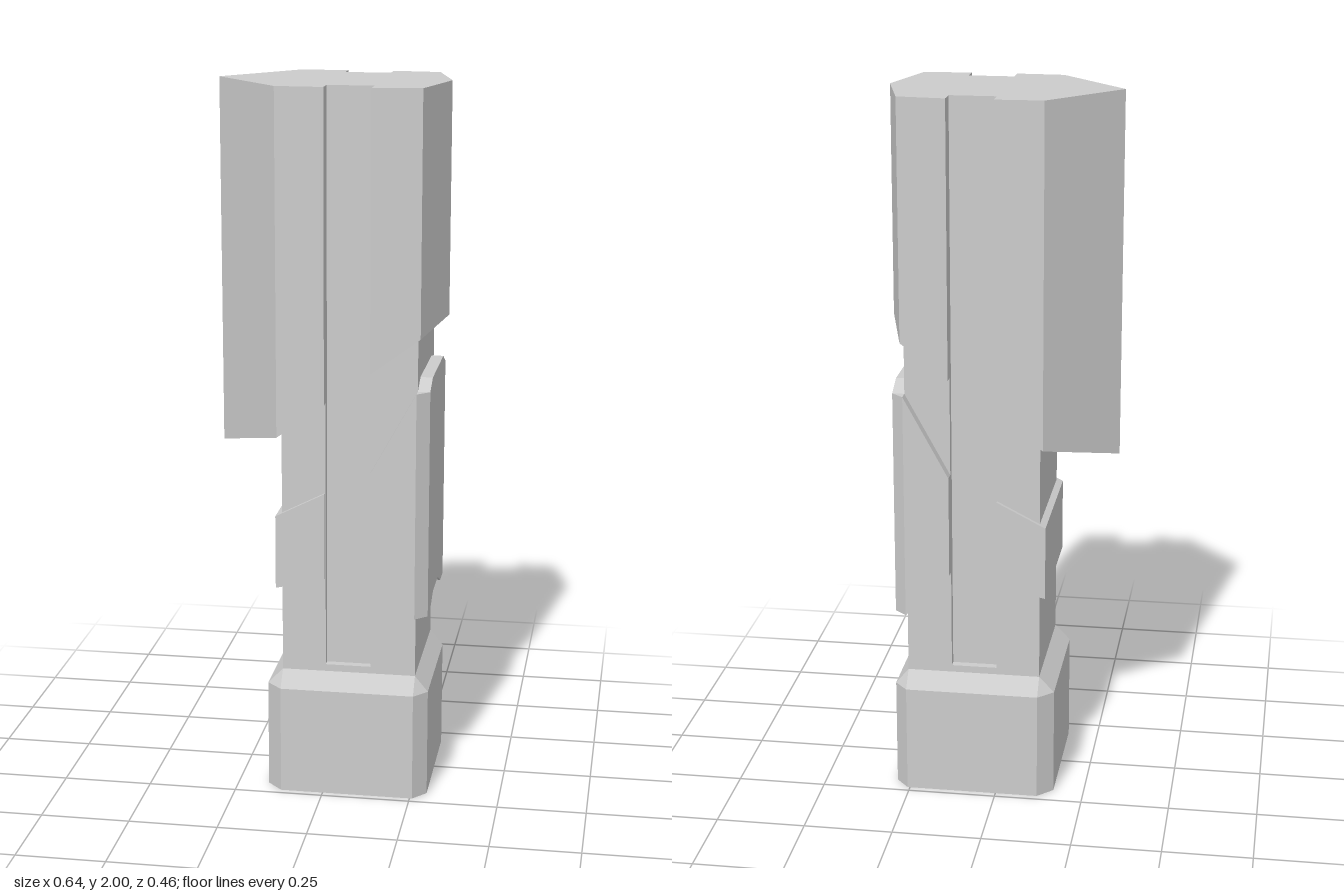
import * as THREE from 'three';
import { ConvexGeometry } from 'three/addons/geometries/ConvexGeometry.js';

const material = new THREE.MeshStandardMaterial({ color: 0xcccccc, flatShading: true });

// Extrude a polygon along its third axis, starting at zero
function extrude(points, depth) {
  const shape = new THREE.Shape(points.map(([a, b]) => new THREE.Vector2(a, b)));
  return new THREE.ExtrudeGeometry(shape, { depth, bevelEnabled: false });
}

// Upright prism from an (x, z) outline; its underside follows bottom(x)
function prism(points, bottom, top) {
  const geometry = extrude(points.map(([x, z]) => [x, -z]), 1).rotateX(-Math.PI / 2);
  const p = geometry.attributes.position;
  for (let i = 0; i < p.count; i++) p.setY(i, p.getY(i) > 0.5 ? top : bottom(p.getX(i)));
  geometry.computeVertexNormals();
  return geometry;
}

// Complete a half outline (z > 0) with its mirror image
const mirrorZ = (half) => [...half, ...half.slice().reverse().map(([x, z]) => [x, -z])];

export function createModel() {
  const group = new THREE.Group();
  const add = (name, geometry) => {
    const mesh = new THREE.Mesh(geometry, material);
    mesh.name = name;
    group.add(mesh);
    return mesh;
  };

  // Pommel: block with cut corners and a sloping shoulder
  const outline = mirrorZ([[-0.163, 0.188], [-0.12, 0.231], [0.257, 0.231], [0.294, 0.188]]);
  const points = [];
  for (const y of [0, 0.31]) for (const [x, z] of outline) points.push(new THREE.Vector3(x, y, z));
  for (const x of [-0.12, 0.257]) for (const z of [-0.188, 0.188]) points.push(new THREE.Vector3(x, 0.355, z));
  add('pommel', new ConvexGeometry(points));

  // Grip core: plain foot, then a section with a groove front and back
  const gl = 0.003, gr = 0.131, floor = 0.165;
  add('gripFoot', prism(mirrorZ([[-0.12, 0.188], [0.257, 0.188]]), () => 0.34, 0.375));
  add('gripCore', prism(mirrorZ([
    [-0.12, 0.188], [gl, 0.188], [gl, floor], [gr, floor], [gr, 0.188], [0.257, 0.188],
  ]), () => 0.375, 1.45));

  // Upper body: grooved middle between two pointed edges, cut off at a slant
  const slant = (x) => 1.135 + 0.73 * x;
  add('upperBody', prism(mirrorZ([
    [-0.13, 0.212], [gl, 0.216], [gl, floor], [gr, floor], [gr, 0.217], [0.265, 0.204],
  ]), slant, 2));
  add('rightEdge', prism([[-0.13, 0.212], [-0.13, -0.212], [-0.321, 0]],
    (x) => (x < -0.2 ? 0.972 : slant(-0.13)), 2));
  add('leftEdge', prism([[0.265, 0.204], [0.32, 0], [0.265, -0.204]],
    (x) => (x > 0.3 ? 1.356 : slant(0.265)), 2));

  // Band wrapped around the right side of the grip
  add('rightBand', extrude([[-0.137, 0.6], [0, 0.632], [0, 0.88], [-0.137, 0.81]], 0.4).translate(0, 0, -0.2));

  // Guard plate on the left side, with notched top and bottom
  const plate = extrude([
    [-0.188, 0.535], [-0.125, 0.535], [-0.06, 0.567], [0.06, 0.567], [0.125, 0.535], [0.188, 0.535],
    [0.188, 1.18], [0.13, 1.207], [-0.13, 1.207], [-0.188, 1.18],
  ], 0.041);
  add('guardPlate', plate.rotateY(Math.PI / 2).translate(0.25, 0, 0));

  // Guard cheeks and chamfered corners, front and back
  for (const s of [1, -1]) {
    const side = s > 0 ? 'front' : 'back';
    const cheek = extrude([[gr, 0.66], [0.257, 0.535], [0.257, 1.18], [gr, 0.95]], 0.04);
    add(side + 'Cheek', cheek.translate(0, 0, s > 0 ? 0.179 : -0.219));
    add(side + 'Corner', prism(
      [[0.257, s * 0.219], [0.291, s * 0.188], [0.257, s * 0.188]], () => 0.535, 1.18));
  }
  return group;
}
